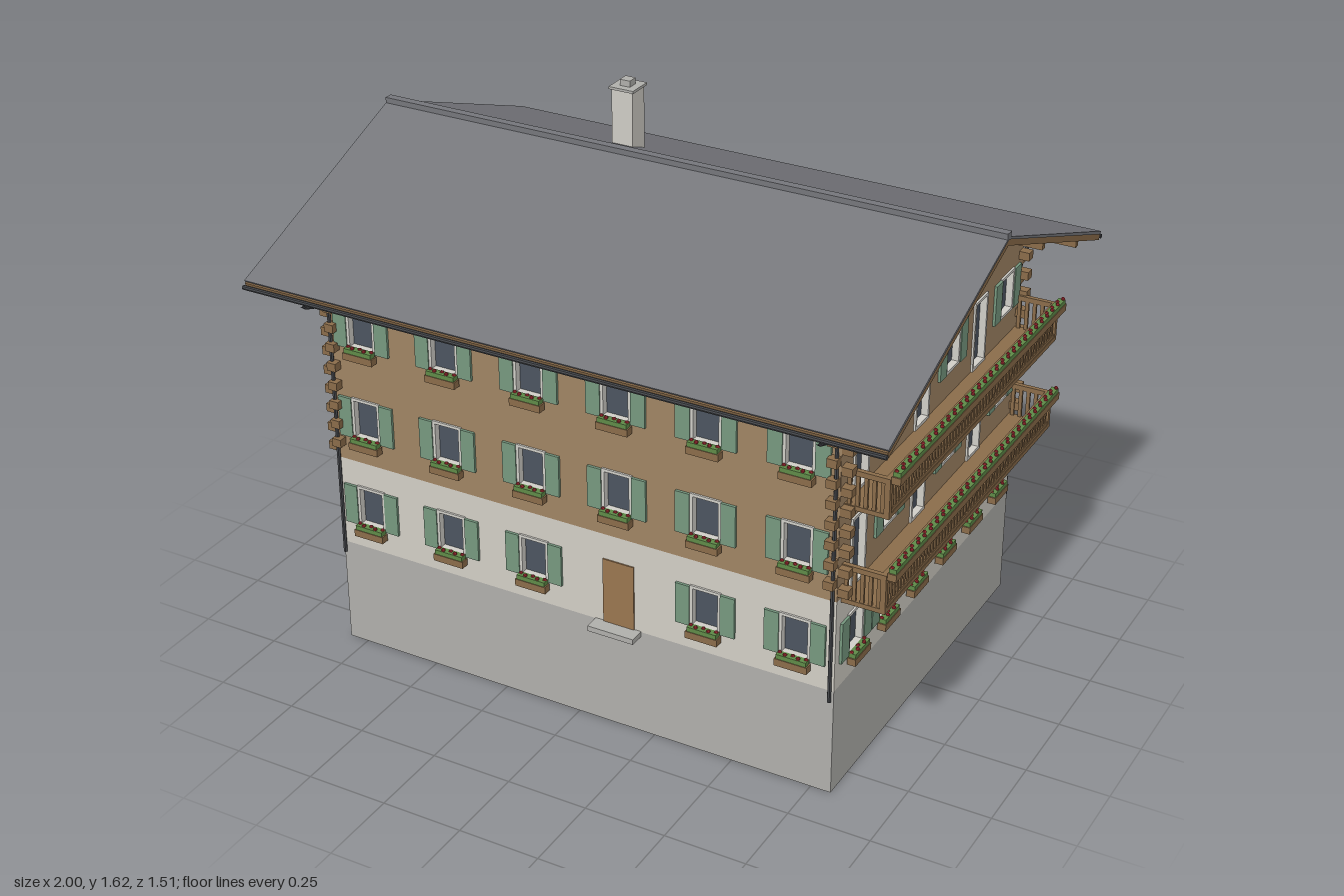
import * as THREE from 'three';
import { mergeGeometries } from 'three/addons/utils/BufferGeometryUtils.js';

const mat = (color, side = THREE.FrontSide) => new THREE.MeshStandardMaterial({ color, side, flatShading: true });
const M = {
  base: mat(0xb0afab, THREE.DoubleSide), plaster: mat(0xd2cec5, THREE.DoubleSide),
  wood: mat(0xa08464, THREE.DoubleSide), beam: mat(0x8a6c4a), door: mat(0x9a7650, THREE.DoubleSide),
  frame: mat(0xd0cec8), glass: mat(0x4c5560, THREE.DoubleSide), shutter: mat(0x76987f),
  leaf: mat(0x5f8a48), flower: mat(0xb03038), roof: mat(0x75767b), metal: mat(0x44464a), chimney: mat(0xcfccc5),
};
const HX = 0.812, HZ = 0.61;            // half size of the house
const RIDGE = 1.5, SLOPE = 0.385, EAVE = 0.74;
const under = z => RIDGE - 0.027 - SLOPE * Math.abs(z);

const add = (parent, geo, m, name) => {
  const mesh = new THREE.Mesh(geo, m);
  mesh.name = name;
  parent.add(mesh);
  return mesh;
};
// Box geometry given by its limits
const box = (x0, x1, y0, y1, z0, z1) => new THREE.BoxGeometry(x1 - x0, y1 - y0, z1 - z0)
  .translate((x0 + x1) / 2, (y0 + y1) / 2, (z0 + z1) / 2);
const poly = (pts, Type = THREE.Shape) => new Type(pts.map(p => new THREE.Vector2(...p)));
const rect = (x0, x1, y0, y1) => [[x0, y0], [x1, y0], [x1, y1], [x0, y1]];
const blossom = (x, y, z) => new THREE.IcosahedronGeometry(0.0065, 0).translate(x, y, z);

// Planter with leaves and a row of blossoms; z0 is its inner face
function planter(parent, x, w, y, n, z0 = 0.004, h = 0.022) {
  const g = new THREE.Group();
  g.name = 'flowerBox';
  parent.add(g);
  add(g, box(x - w / 2, x + w / 2, y, y + h, z0, z0 + 0.026), M.beam, 'planter');
  add(g, box(x - w / 2 + 0.004, x + w / 2 - 0.004, y + h, y + h + 0.014, z0 + 0.002, z0 + 0.024), M.leaf, 'leaves');
  const dots = [];
  for (let i = 0; i < n; i++)
    dots.push(blossom(x + w * ((i + 0.5) / n - 0.5), y + h + 0.014 + 0.003 * (i % 2), z0 + 0.009 + 0.009 * (i % 2)));
  add(g, mergeGeometries(dots), M.flower, 'blossoms');
}

// Window in wall coordinates: x along the wall, z outwards
function opening(parent, { x, y0, y1, w = 0.096, shutters, flowers, door }) {
  const g = new THREE.Group();
  g.name = door ? 'door' : 'window';
  parent.add(g);
  const a = x - w / 2, b = x + w / 2, t = door ? 0 : 0.009;
  const ring = poly(rect(a, b, y0, y1));
  if (!door) {
    ring.holes.push(poly(rect(a + t, b - t, y0 + t, y1 - t), THREE.Path));
    add(g, new THREE.ExtrudeGeometry(ring, { depth: 0.028, bevelEnabled: false }).translate(0, 0, -0.022), M.frame, 'windowFrame');
    add(g, new THREE.ShapeGeometry(poly(rect(a + t, b - t, y0 + t, y1 - t))).translate(0, 0, -0.015), M.glass, 'glass');
  } else {
    add(g, box(a, b, y0, y1, -0.015, 0.004), M.door, 'doorLeaf');
  }
  if (shutters)
    for (const s of [-1, 1]) {
      const c = x + s * (w / 2 + shutters / 2);
      add(g, box(c - shutters / 2, c + shutters / 2, y0 + 0.003, y1 - 0.003, 0.001, 0.009), M.shutter, 'shutter');
    }
  if (flowers) planter(g, x, w + 0.004, y0 - 0.025, 5);
}

// One side: base, plaster and timber bands with holes for the openings
function wall(parent, name, half, dist, angle, gable, openings) {
  const g = new THREE.Group();
  g.name = name;
  g.rotation.y = angle;
  g.position.set(Math.sin(angle) * dist, 0, Math.cos(angle) * dist);
  parent.add(g);
  const timber = [[-half, 0.63], [half, 0.63], [half, under(HZ)]];
  if (gable) timber.push([0, under(0)]);
  timber.push([-half, under(HZ)]);
  const bands = [
    ['baseWall', M.base, rect(-half, half, 0, 0.34), 0, 0.34],
    ['plasterWall', M.plaster, rect(-half, half, 0.34, 0.63), 0.34, 0.63],
    ['timberWall', M.wood, timber, 0.63, 2],
  ];
  for (const [n, m, pts, lo, hi] of bands) {
    const s = poly(pts);
    for (const o of openings) {
      const w = (o.w || 0.096) / 2 - 0.002;
      if (o.y0 >= lo && o.y0 < hi)
        s.holes.push(poly(rect(o.x - w, o.x + w, o.y0 + 0.002, o.y1 - 0.002), THREE.Path));
    }
    add(g, new THREE.ShapeGeometry(s), m, n);
  }
  openings.forEach(o => opening(g, o));
  return g;
}

const ROWS = [[0.415, 0.55], [0.71, 0.845], [1.005, 1.14]];
const rows = (xs, shutters, list = ROWS) => list.flatMap(([y0, y1]) =>
  xs.map(x => ({ x, y0, y1, shutters, flowers: true })));

// Balcony in the coordinates of the wall it hangs on
function balcony(parent, y) {
  const g = new THREE.Group();
  g.name = 'balcony';
  parent.add(g);
  const L = 0.585, D = 0.13;
  add(g, box(-L, L, y, y + 0.014, 0, D), M.beam, 'balconyFloor');
  const bars = [];
  for (let i = 0; i <= 56; i++) {
    const x = -L + 0.006 + (i / 56) * (2 * L - 0.012);
    bars.push(box(x - 0.0055, x + 0.0055, y + 0.012, y + 0.108, D - 0.012, D - 0.004));
  }
  for (const s of [-1, 1])
    for (let i = 0; i < 5; i++) {
      const z = 0.012 + i * 0.024, x = s * (L - 0.006);
      bars.push(box(x - 0.004, x + 0.004, y + 0.012, y + 0.108, z - 0.0055, z + 0.0055));
    }
  add(g, mergeGeometries(bars), M.beam, 'balusters');
  const rails = [box(-L, L, y + 0.104, y + 0.122, D - 0.016, D), box(-L, L, y + 0.014, y + 0.024, D - 0.014, D - 0.002)];
  for (const s of [-1, 1]) {
    const x = s * (L - 0.006);
    rails.push(box(x - 0.007, x + 0.007, y + 0.106, y + 0.122, 0, D));
    rails.push(box(x - 0.007, x + 0.007, y, y + 0.122, D - 0.016, D));
  }
  add(g, mergeGeometries(rails), M.beam, 'handrails');
  planter(g, 0, 2 * L - 0.01, y + 0.106, 56, D, 0.022);
}

// Gabled slab between two depths below the roof line
function slab(top, bottom, eave, halfLength) {
  const y = (z, d) => RIDGE - d - SLOPE * z;
  const s = poly([[-eave, y(eave, top)], [-eave + 0.006, y(eave, bottom)], [0, y(0, bottom)],
    [eave - 0.006, y(eave, bottom)], [eave, y(eave, top)], [0, y(0, top)]]);
  return new THREE.ExtrudeGeometry(s, { depth: 2 * halfLength, bevelEnabled: false })
    .translate(0, 0, -halfLength).rotateY(Math.PI / 2);
}

export function createModel() {
  const house = new THREE.Group();
  house.name = 'chalet';

  // Walls with windows and doors
  const six = [-0.7, -0.42, -0.14, 0.137, 0.415, 0.692];
  const front = rows(six, 0.045).filter(o => !(o.x === 0.137 && o.y0 < 0.5));
  front.push({ x: 0.137, y0: 0.342, y1: 0.55, w: 0.1, door: true });
  wall(house, 'frontWall', HX, HZ, 0, false, front);
  wall(house, 'backWall', HX, HZ, Math.PI, false, rows(six.map(x => -x), 0.045));

  const attic = [-0.127, 0.127].map(x => ({ x, y0: 1.305, y1: 1.415, w: 0.09, shutters: 0.036 }));
  const cols = [-0.49, -0.295, -0.1, 0.1, 0.295, 0.49];
  const right = [...rows(cols, 0.047, [ROWS[0]]), ...attic];
  for (const [y0, y1] of ROWS.slice(1))
    cols.forEach((x, i) => right.push(i % 2
      ? { x, y0, y1, shutters: 0.045 }
      : { x, y0: y0 - 0.078, y1: y1 + 0.006, w: 0.092 }));
  const rightWall = wall(house, 'rightWall', HZ, HX, Math.PI / 2, true, right);
  [0.617, 0.912].forEach(y => balcony(rightWall, y));
  wall(house, 'leftWall', HZ, HX, -Math.PI / 2, true, [...rows([-0.49, -0.165, 0.165, 0.49], 0.045), ...attic]);

  add(house, box(0.06, 0.208, 0.325, 0.342, HZ, 0.658), M.base, 'doorStep');

  // Crossing log ends and downpipes at the four corners
  const logs = [];
  for (const sx of [-1, 1])
    for (const sz of [-1, 1]) {
      for (let i = 0; i < 9; i++) {
        const y = 0.66 + i * 0.0625;
        logs.push(new THREE.BoxGeometry(0.05, 0.026, 0.03).translate(sx * 0.819, y, sz * 0.594));
        logs.push(new THREE.BoxGeometry(0.03, 0.026, 0.05).translate(sx * 0.796, y + 0.031, sz * 0.612));
      }
      const path = new THREE.CurvePath();
      const pts = [[1.185, 0.742], [1.172, 0.73], [1.135, 0.628], [1.11, 0.62], [0.31, 0.62]]
        .map(([y, z]) => new THREE.Vector3(sx * 0.803, y, sz * z));
      for (let i = 1; i < pts.length; i++) path.add(new THREE.LineCurve3(pts[i - 1], pts[i]));
      add(house, new THREE.TubeGeometry(path, 40, 0.006, 6), M.metal, 'downpipe');
    }
  add(house, mergeGeometries(logs), M.beam, 'logEnds');

  // Roof: timber deck, covering, ridge cap
  add(house, slab(0.008, 0.027, EAVE, 0.998), M.beam, 'roofDeck');
  add(house, slab(0, 0.008, EAVE, 1), M.roof, 'roofCovering');
  add(house, box(-1, 1, RIDGE - 0.006, RIDGE + 0.012, -0.013, 0.013), M.roof, 'ridgeCap');

  // Purlins, rafter ends and gutters under the roof
  for (const z of [-0.61, -0.335, 0, 0.335, 0.61]) {
    const y = under(z) - 0.002;
    add(house, box(-0.975, 0.975, y - 0.024, y, z - 0.009, z + 0.009), M.beam, 'purlin');
  }
  const rafters = [];
  const tilt = Math.atan(SLOPE);
  for (const s of [-1, 1]) {
    for (let i = 0; i <= 18; i++)
      rafters.push(new THREE.BoxGeometry(0.018, 0.016, 0.13).rotateX(s * tilt)
        .translate(-0.94 + i * (1.88 / 18), under(0.66) - 0.008, s * 0.66));
    add(house, new THREE.CylinderGeometry(0.007, 0.007, 2, 8).rotateZ(Math.PI / 2)
      .translate(0, 1.196, s * 0.746), M.metal, 'gutter');
  }
  add(house, mergeGeometries(rafters), M.beam, 'rafterEnds');

  // Chimney
  const chimney = new THREE.Group();
  chimney.name = 'chimney';
  chimney.position.set(-0.3, 0, -0.222);
  house.add(chimney);
  add(chimney, box(-0.035, 0.035, 1.36, 1.6, -0.035, 0.035), M.chimney, 'chimneyStack');
  add(chimney, box(-0.041, 0.041, 1.598, 1.606, -0.041, 0.041), M.base, 'chimneyCap');
  add(chimney, box(-0.017, 0.017, 1.606, 1.625, -0.017, 0.017), M.base, 'chimneyPot');
  return house;
}
